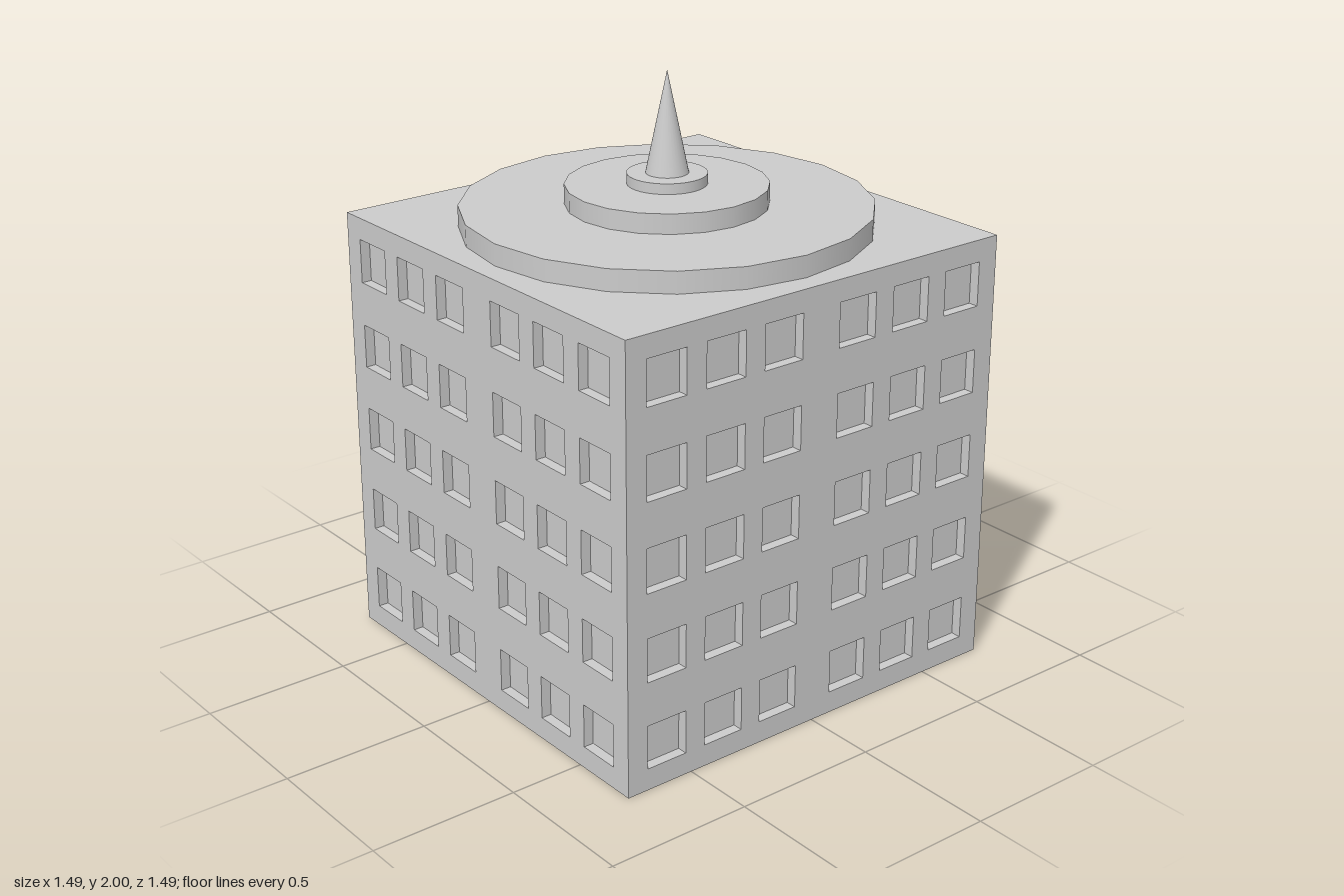
import * as THREE from 'three';

const U = 0.0746;          // design module
const HALF = 10 * U;       // half width of the block
const HEIGHT = 20 * U;     // height of the block
const DEPTH = 0.035;       // window recess

const material = new THREE.MeshStandardMaterial({ color: 0xcccccc });

function add(parent, name, geometry, y = 0) {
  const mesh = new THREE.Mesh(geometry, material);
  mesh.name = name;
  mesh.position.y = y;
  parent.add(mesh);
  return mesh;
}

// Wall panel with a 6 x 5 grid of square window openings
function wallGeometry(half) {
  const shape = new THREE.Shape([
    new THREE.Vector2(-half, 0), new THREE.Vector2(half, 0),
    new THREE.Vector2(half, HEIGHT), new THREE.Vector2(-half, HEIGHT),
  ]);
  for (const column of [-9, -6, -3, 1, 4, 7]) {
    for (let floor = 0; floor < 5; floor++) {
      const x = column * U, y = (1 + floor * 4) * U, s = 2 * U;
      shape.holes.push(new THREE.Path([
        new THREE.Vector2(x, y), new THREE.Vector2(x, y + s),
        new THREE.Vector2(x + s, y + s), new THREE.Vector2(x + s, y),
      ]));
    }
  }
  return new THREE.ExtrudeGeometry(shape, { depth: DEPTH, bevelEnabled: false });
}

export function createModel() {
  const model = new THREE.Group();
  model.name = 'building';

  // Inner block, whose faces form the window panes
  const inner = 2 * (HALF - DEPTH);
  add(model, 'windowPanes', new THREE.BoxGeometry(inner, HEIGHT, inner), HEIGHT / 2);

  // Four walls; the side walls fit between the front and back ones
  ['frontWall', 'leftWall', 'backWall', 'rightWall'].forEach((name, i) => {
    const geometry = wallGeometry(i % 2 ? HALF - DEPTH : HALF);
    geometry.translate(0, 0, HALF - DEPTH);
    add(model, name, geometry).rotation.y = i * Math.PI / 2;
  });

  // Stepped round roof: name, radius, bottom, top, sides
  const tiers = [
    ['lowerRoofTier', 0.672, HEIGHT, 1.564, 20],
    ['middleRoofTier', 0.331, 1.564, 1.63, 20],
    ['spireBase', 0.131, 1.63, 1.665, 32],
  ];
  for (const [name, radius, bottom, top, sides] of tiers) {
    add(model, name, new THREE.CylinderGeometry(radius, radius, top - bottom, sides), (bottom + top) / 2);
  }

  // Pointed spire
  add(model, 'spire', new THREE.ConeGeometry(0.07, 2 - 1.665, 32), (2 + 1.665) / 2);

  return model;
}
